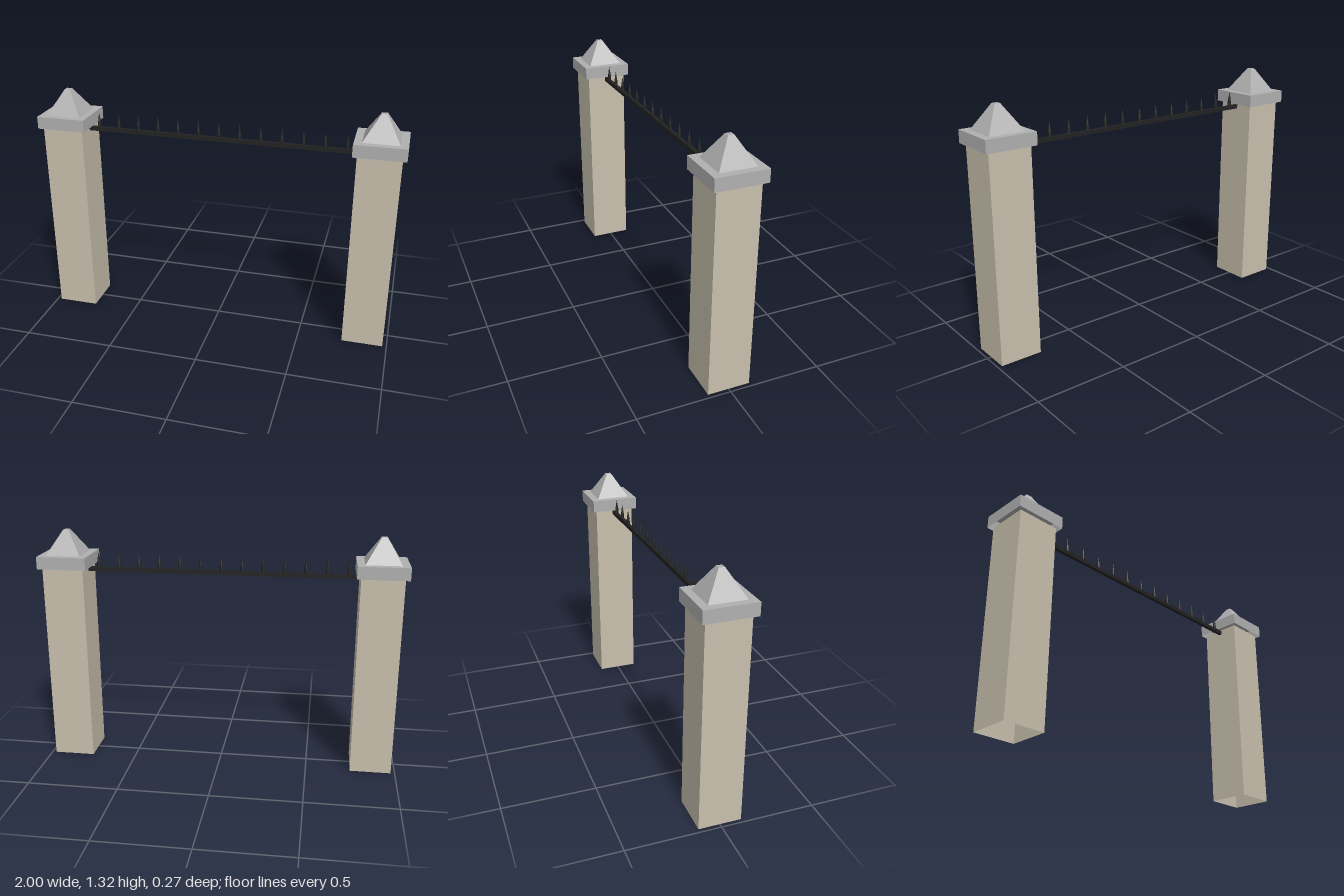
import * as THREE from 'three';

const flat = (name, color, side = THREE.FrontSide) => {
  const m = new THREE.MeshStandardMaterial({ color, side, flatShading: true });
  m.name = name;
  return m;
};

// Square, optionally tapered shell with open ends
function squareShell(halfBottom, halfTop, y0, y1) {
  const g = new THREE.CylinderGeometry(halfTop * Math.SQRT2, halfBottom * Math.SQRT2, y1 - y0, 4, 1, true);
  g.rotateY(Math.PI / 4);
  g.translate(0, (y0 + y1) / 2, 0);
  return g;
}

// Horizontal square closing a shell from above
function lid(half, y) {
  const g = new THREE.PlaneGeometry(half * 2, half * 2);
  g.rotateX(-Math.PI / 2);
  g.translate(0, y, 0);
  return g;
}

export function createModel() {
  const model = new THREE.Group();
  model.name = 'gateway';
  const sandstone = flat('sandstone', 0xc8bfac, THREE.DoubleSide);
  const greyStone = flat('grey stone', 0xb0b0b0, THREE.DoubleSide);
  const iron = flat('black iron', 0x222222);

  const add = (parent, name, geometry, material) => {
    const mesh = new THREE.Mesh(geometry, material);
    mesh.name = name;
    parent.add(mesh);
    return mesh;
  };

  // Two hollow pillars with overhanging caps and blunt pyramids
  for (const [name, side] of [['leftPillar', 1], ['rightPillar', -1]]) {
    const pillar = new THREE.Group();
    pillar.name = name;
    pillar.position.x = side * 0.8635;
    add(pillar, 'shaft', squareShell(0.114, 0.114, 0, 1.115), sandstone);
    add(pillar, 'capSides', squareShell(0.1365, 0.1365, 1.115, 1.183), greyStone);
    add(pillar, 'capTop', lid(0.1365, 1.183), greyStone);
    add(pillar, 'pyramid', squareShell(0.096, 0.015, 1.183, 1.315), greyStone);
    add(pillar, 'pyramidTip', lid(0.015, 1.315), greyStone);
    model.add(pillar);
  }

  // Rail spanning the pillars
  const rail = add(model, 'rail', new THREE.BoxGeometry(1.5, 0.023, 0.02), iron);
  rail.position.y = 1.097;

  // Row of pointed spikes on the rail
  const profile = [[0.011, 0], [0.009, 0.035], [0, 0.09]].map(([r, y]) => new THREE.Vector2(r, y));
  const spikeGeometry = new THREE.LatheGeometry(profile, 8);
  for (let i = -6; i <= 6; i++) {
    add(model, 'spike', spikeGeometry, iron).position.set(i * 0.115, 1.102, 0);
  }
  return model;
}
